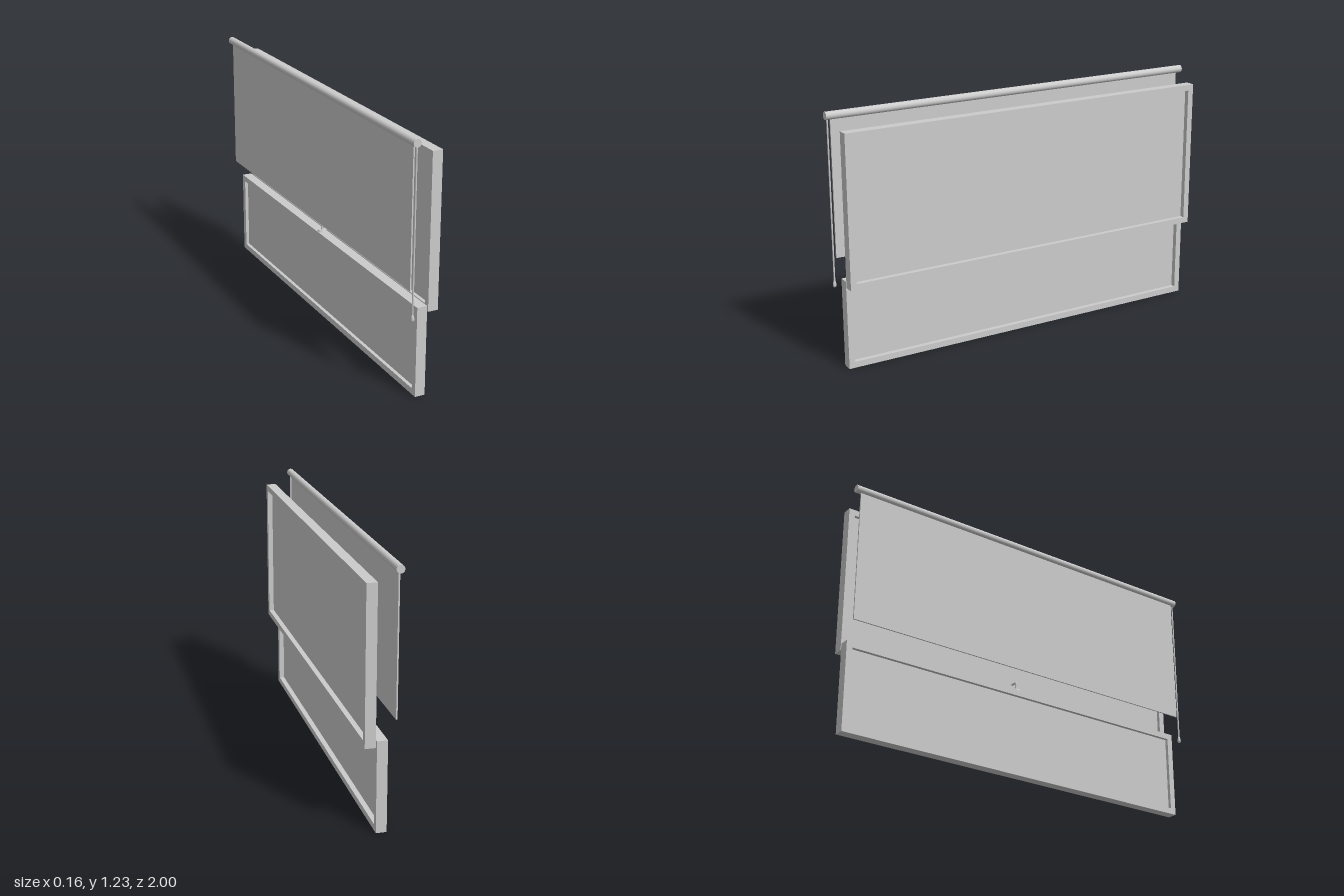
import * as THREE from 'three';

const grey = new THREE.MeshStandardMaterial({ color: 0xcccccc, side: THREE.DoubleSide });

function add(parent, name, geometry, x = 0, y = 0, z = 0) {
  const mesh = new THREE.Mesh(geometry, grey);
  mesh.name = name;
  mesh.position.set(x, y, z);
  parent.add(mesh);
  return mesh;
}

// A rectangular frame with a thin recessed pane, lying in the z-y plane
function makeSash(name, x, bottom, height) {
  const width = 1.95, depth = 0.05, border = 0.03;
  const sash = new THREE.Group();
  sash.name = name;
  sash.position.set(x, bottom + height / 2, -0.005);

  const rect = (path, w, h) => path.moveTo(-w / 2, -h / 2).lineTo(w / 2, -h / 2)
    .lineTo(w / 2, h / 2).lineTo(-w / 2, h / 2).closePath();
  const outline = rect(new THREE.Shape(), width, height);
  outline.holes.push(rect(new THREE.Path(), width - 2 * border, height - 2 * border));
  const frame = new THREE.ExtrudeGeometry(outline, { depth, bevelEnabled: false });
  frame.translate(0, 0, -depth / 2).rotateY(Math.PI / 2);
  add(sash, 'sashFrame', frame);
  add(sash, 'windowPane', new THREE.BoxGeometry(0.008, height - 2 * border, width - 2 * border), -0.004);
  return sash;
}

// Roller tube, hanging cloth and pull cord
function makeBlind() {
  const blind = new THREE.Group();
  blind.name = 'rollerBlind';
  add(blind, 'roller', new THREE.CylinderGeometry(0.019, 0.019, 2, 32).rotateX(Math.PI / 2), -0.062, 1.21);
  add(blind, 'cloth', new THREE.BoxGeometry(0.007, 0.68, 1.95), -0.064, 0.87);
  add(blind, 'pullCord', new THREE.CylinderGeometry(0.004, 0.004, 0.79, 12), -0.06, 0.815, 0.99);
  const profile = [[0, 0], [0.006, 0.001], [0.009, 0.009], [0.007, 0.022], [0.004, 0.034], [0, 0.035]]
    .map(([r, y]) => new THREE.Vector2(r, y));
  add(blind, 'cordPull', new THREE.LatheGeometry(profile, 16), -0.06, 0.39, 0.99);
  return blind;
}

// Catch on the lower sash that hooks over to the upper sash
function makeLatch() {
  const latch = new THREE.Group();
  latch.name = 'latch';
  latch.position.set(0, 0.44, -0.025);
  add(latch, 'latchBase', new THREE.CylinderGeometry(0.019, 0.023, 0.01, 24), 0, 0.005);
  add(latch, 'latchKeeper', new THREE.BoxGeometry(0.02, 0.006, 0.014), 0.022, 0.006);
  const path = new THREE.CurvePath();
  const v = (x, y) => new THREE.Vector3(x, y, 0);
  path.add(new THREE.LineCurve3(v(0, 0.008), v(0, 0.044)));
  path.add(new THREE.QuadraticBezierCurve3(v(0, 0.044), v(0, 0.05), v(0.006, 0.05)));
  path.add(new THREE.LineCurve3(v(0.006, 0.05), v(0.034, 0.05)));
  add(latch, 'latchHandle', new THREE.TubeGeometry(path, 32, 0.005, 12));
  return latch;
}

export function createModel() {
  const model = new THREE.Group();
  model.name = 'sashWindowWithBlind';
  model.add(
    makeSash('lowerSash', 0, 0, 0.44),
    makeSash('upperSash', 0.055, 0.41, 0.745),
    makeBlind(),
    makeLatch(),
  );
  return model;
}
